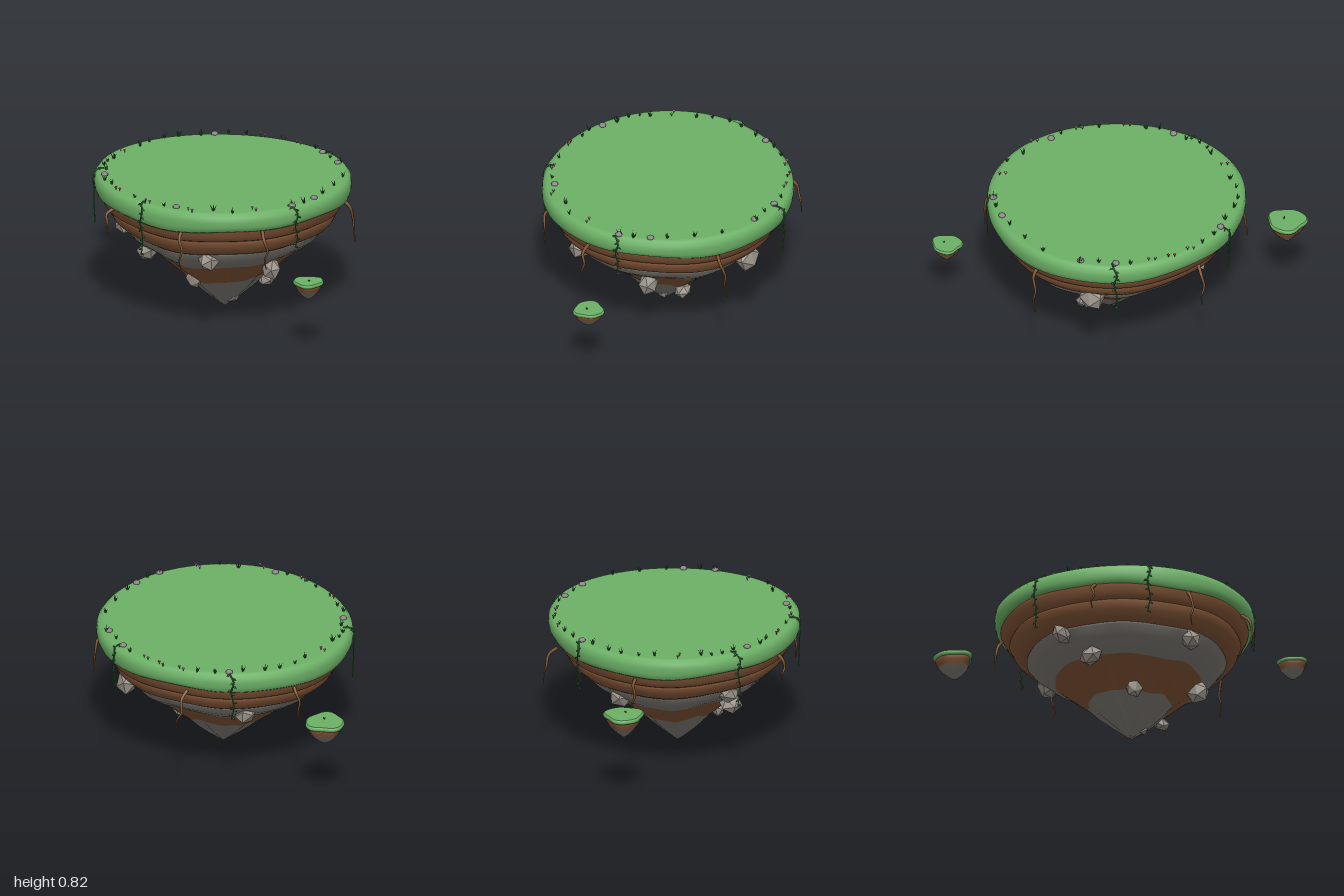
import * as THREE from 'three';

const mat = (name, color) => {
  const m = new THREE.MeshStandardMaterial({ color });
  m.name = name;
  return m;
};
const { cos, sin, PI } = Math;

// Seeded random numbers
let seed = 7;
const rnd = (a = 0, b = 1) => {
  seed = (seed * 16807) % 2147483647;
  return a + (b - a) * (seed / 2147483647);
};

// Rim radius and strata waviness by angle
const rim = (a) => 0.715 + 0.012 * cos(2 * a) + 0.01 * cos(a) - 0.01 * cos(3 * a);
const wave = (a) => 0.6 * sin(3 * a + 0.5) + 0.4 * sin(7 * a + 1.3);

// Closed rings joined from top to bottom; ring(i, angle) gives [x, y, z]
function loft(count, segs, ring) {
  const pos = [], idx = [];
  for (let i = 0; i < count; i++)
    for (let j = 0; j < segs; j++) pos.push(...ring(i, (j / segs) * 2 * PI));
  for (let i = 0; i < count - 1; i++)
    for (let j = 0; j < segs; j++) {
      const k = (j + 1) % segs;
      const a = i * segs + j, b = i * segs + k, c = a + segs, d = b + segs;
      idx.push(a, b, c, b, d, c);
    }
  const g = new THREE.BufferGeometry();
  g.setAttribute('position', new THREE.Float32BufferAttribute(pos, 3));
  g.setIndex(idx);
  g.computeVertexNormals();
  return g;
}

export function createModel() {
  seed = 7;
  const root = new THREE.Group();
  root.name = 'floatingIsland';
  const M = {
    grass: mat('grassGreen', 0x6cb066),
    dirt: mat('dirtBrown', 0x7f5335),
    rock: mat('rockGrey', 0x7c7872),
    boulder: mat('boulderGrey', 0x999289),
    root: mat('rootBrown', 0x80552f),
    vine: mat('vineGreen', 0x2f7038),
    blade: mat('bladeGreen', 0x2c5a2c),
    pebble: mat('pebbleGrey', 0x8c8488),
    pink: mat('petalPink', 0xd98cb4),
    red: mat('petalRed', 0xc0392b),
  };
  const add = (name, geo, m, parent = root) => {
    const mesh = new THREE.Mesh(geo, m);
    mesh.name = name;
    parent.add(mesh);
    return mesh;
  };

  // Main island bands: rows of [radius, height, waviness, fluting]
  const band = (name, m, rows) => add(name, loft(rows.length, 96, (i, a) => {
    const [r, y, w = 0, f = 0] = rows[i];
    const cx = y > 0.62 ? 0.03 : 0.03 + (0.62 - y) * 0.065;
    const R = (r / 0.715) * rim(a) * (1 + f * (sin(9 * a) + 0.6 * sin(14 * a + 1)));
    return [cx + R * cos(a), y + w * wave(a), 0.02 * (1 - y / 0.78) + R * sin(a)];
  }), m);

  band('grassTop', M.grass, [[0, 0.775], [0.68, 0.775]]);
  band('grassRim', M.grass, [[0.68, 0.775], [0.7, 0.77], [0.715, 0.752], [0.719, 0.725],
    [0.717, 0.695, 0.006], [0.708, 0.67, 0.012], [0.695, 0.661, 0.013], [0.65, 0.668, 0.012]]);
  band('upperDirt', M.dirt, [[0.66, 0.69], [0.684, 0.672, 0.003], [0.686, 0.655, 0.006],
    [0.67, 0.62, 0.006], [0.656, 0.597, 0.007], [0.64, 0.588, 0.007], [0.6, 0.59, 0.007]]);
  band('middleDirt', M.dirt, [[0.6, 0.6, 0.007], [0.634, 0.59, 0.007], [0.64, 0.575, 0.007],
    [0.622, 0.535, 0.008], [0.59, 0.503, 0.009], [0.565, 0.488, 0.01], [0.52, 0.49, 0.01]]);
  band('upperRock', M.rock, [[0.52, 0.497, 0.01], [0.547, 0.488, 0.01], [0.553, 0.475, 0.01, 0.003],
    [0.51, 0.425, 0.01, 0.007], [0.455, 0.385, 0.012, 0.009], [0.405, 0.355, 0.014, 0.01]]);
  band('lowerDirt', M.dirt, [[0.405, 0.355, 0.014, 0.01], [0.35, 0.31, 0.012, 0.012],
    [0.285, 0.255, 0.012, 0.018], [0.23, 0.21, 0.012, 0.025]]);
  band('rockTip', M.rock, [[0.23, 0.21, 0.012, 0.025], [0.165, 0.145, 0.006, 0.05],
    [0.1, 0.085, 0.003, 0.06], [0.045, 0.036, 0, 0.05], [0, 0]]);

  // Boulders set in the underside: x, y, z, size
  [[-0.41, 0.47, 0.31, 0.064], [-0.245, 0.35, 0.32, 0.068], [0.29, 0.445, 0.47, 0.071],
    [0.025, 0.215, 0.25, 0.052], [0.435, 0.31, 0.08, 0.065], [0.27, 0.175, -0.1, 0.054],
    [0.12, 0.08, 0.02, 0.046], [0.37, 0.475, -0.47, 0.082], [-0.34, 0.42, -0.29, 0.068],
  ].forEach(([x, y, z, s]) => {
    const b = add('boulder', new THREE.IcosahedronGeometry(s, 0), M.boulder);
    b.position.set(x, y, z);
    b.rotation.set(rnd(0, 3), rnd(0, 3), rnd(0, 3));
    b.scale.set(rnd(0.95, 1.15), rnd(0.7, 0.85), rnd(0.9, 1.1));
  });

  // Tapered tube along a list of points
  const strand = (name, pts, r0, r1, m, parent) => {
    const curve = new THREE.CatmullRomCurve3(pts.map((p) => new THREE.Vector3(...p)));
    const n = 14, sides = 6;
    const g = new THREE.TubeGeometry(curve, n, 1, sides, false);
    const p = g.attributes.position, v = new THREE.Vector3();
    for (let i = 0; i < p.count; i++) {
      const t = Math.floor(i / (sides + 1)) / n, c = curve.getPointAt(t);
      v.fromBufferAttribute(p, i).sub(c).multiplyScalar(r0 + (r1 - r0) * t).add(c);
      p.setXYZ(i, v.x, v.y, v.z);
    }
    add(name, g, m, parent);
    return curve;
  };

  // Hanging roots: start and end
  [[-0.29, 0.66, 0.59, -0.31, 0.51, 0.61], [0.23, 0.66, 0.64, 0.25, 0.43, 0.68],
    [0.63, 0.66, -0.32, 0.68, 0.39, -0.385], [0.61, 0.66, 0.4, 0.66, 0.45, 0.43],
    [-0.2, 0.66, -0.65, -0.19, 0.44, -0.73], [-0.6, 0.65, -0.2, -0.665, 0.45, -0.22],
  ].forEach(([x, y, z, X, Y, Z]) => {
    const at = (t, out, side) => [x + (X - x) * t + out * X - side * Z,
      y + (Y - y) * t, z + (Z - z) * t + out * Z + side * X];
    strand('hangingRoot', [at(0, 0, 0), at(0.2, 0.045, 0.01), at(0.5, 0.035, -0.012),
      at(0.75, 0.02, 0.012), at(1, 0, 0)], 0.011, 0.003, M.root);
  });

  // Vines draped over the rim: angle in degrees and lowest height
  [[148.5, 0.46], [93, 0.475], [18.5, 0.535], [-67.5, 0.5], [-131, 0.5]].forEach(([deg, low]) => {
    const vine = new THREE.Group();
    vine.name = 'vine';
    root.add(vine);
    const a = (deg * PI) / 180, R = rim(a);
    const at = (r, y, d) => [0.03 + r * cos(a + d), y, r * sin(a + d)];
    const curve = strand('vineStem', [at(R - 0.05, 0.778, 0.03), at(R - 0.01, 0.775, 0.02),
      at(R + 0.009, 0.735, -0.01), at(R + 0.007, 0.67, 0.012), at(R + 0.004, (0.67 + low) / 2, -0.01),
      at(R, low, 0.008)], 0.005, 0.003, M.vine, vine);
    for (let i = 0; i < 13; i++) {
      const leaf = add('vineLeaf', new THREE.OctahedronGeometry(0.013, 0), M.vine, vine);
      const s = i % 2 ? 1 : -1;
      leaf.scale.set(1, 0.55, 0.35);
      leaf.rotation.set(0, PI / 2 - a, s * 0.6, 'YXZ');
      leaf.position.copy(curve.getPointAt(0.06 + i * 0.077));
      leaf.position.add(new THREE.Vector3(-sin(a) * s * 0.011, 0, cos(a) * s * 0.011));
    }
  });

  // Grass tufts: a fan of thin cones
  const tuft = (x, y, z, h, parent = root) => {
    const g = new THREE.Group();
    g.name = 'grassTuft';
    g.position.set(x, y, z);
    g.rotation.y = rnd(0, 6);
    for (let i = 0; i < 4; i++) {
      const len = h * rnd(0.8, 1.15);
      const geo = new THREE.ConeGeometry(h * 0.12, len, 4).translate(0, len / 2, 0);
      const b = add('grassBlade', geo, M.blade, g);
      b.rotation.set(0, i * 1.7, i ? 0.5 : 0.08, 'YXZ');
    }
    parent.add(g);
  };
  [[-0.33, -0.56], [-0.24, -0.61], [-0.44, -0.45], [-0.53, -0.36], [-0.58, -0.29], [-0.61, -0.19],
    [-0.61, -0.1], [-0.6, 0.16], [-0.6, 0.22], [-0.52, 0.34], [-0.58, 0.28], [-0.42, 0.49],
    [-0.35, 0.52], [-0.11, 0.63], [0.11, 0.65], [0.38, 0.55], [0.49, 0.52], [0.71, 0.14],
    [0.69, 0.22], [0.7, -0.05], [0.67, -0.2], [0.62, -0.35], [0.47, -0.53], [0.37, -0.57],
    [0.21, -0.65]].forEach(([x, z]) => tuft(x, 0.773, z, rnd(0.03, 0.043)));

  // Pebbles around the rim
  [[-0.39, -0.51], [0.285, -0.615], [0.46, -0.52], [0.71, 0.045], [0.69, 0.225], [0.18, 0.63],
    [-0.475, 0.417]].forEach(([x, z]) => {
    const p = add('pebble', new THREE.IcosahedronGeometry(0.02, 1), M.pebble);
    p.position.set(x, 0.779, z);
    p.scale.y = 0.75;
  });

  // Small flowers in pairs
  [[-0.155, -0.645, 'pink'], [0.085, -0.66, 'pink'], [-0.63, 0.035, 'pink'], [0.56, 0.41, 'pink'],
    [0.28, 0.635, 'pink'], [0, 0.655, 'pink'], [-0.03, -0.67, 'red'], [-0.26, 0.585, 'red'],
  ].forEach(([x, z, c]) => [-1, 1].forEach((s) => {
    const f = add('flower', new THREE.SphereGeometry(0.008, 8, 6), M[c]);
    f.position.set(x + s * 0.017, 0.79, z + s * 0.005);
    f.scale.y = 0.6;
    const st = add('flowerStem', new THREE.CylinderGeometry(0.002, 0.002, 0.016, 5), M.blade);
    st.position.set(f.position.x, 0.781, f.position.z);
  }));

  // Small floating islets
  const islet = (name, x, y, z, s, turn) => {
    const g = new THREE.Group();
    g.name = name;
    g.position.set(x, y, z);
    root.add(g);
    const part = (n, m, rows) => add(n, loft(rows.length, 40, (i, a) => {
      const [r, h] = rows[i];
      const R = r * s * (1 + 0.08 * cos(3 * (a + turn)) + 0.04 * cos(5 * a + 1));
      return [R * cos(a), h * s, R * sin(a)];
    }), m, g);
    part('isletGrassTop', M.grass, [[0, 0], [0.94, -0.01]]);
    part('isletGrassRim', M.grass, [[0.94, -0.01], [1, -0.06], [1.01, -0.14], [0.97, -0.23], [0.85, -0.24]]);
    part('isletDirt', M.dirt, [[0.85, -0.2], [0.9, -0.26], [0.84, -0.44], [0.73, -0.66]]);
    part('isletRock', M.rock, [[0.73, -0.66], [0.55, -0.87], [0.32, -1.1], [0.12, -1.25], [0, -1.3]]);
    tuft(0.013, -0.002, 0.01, 0.018, g);
  };
  islet('rightIslet', -0.887, 0.535, -0.27, 0.109, PI / 3);
  islet('leftIslet', 0.912, 0.42, 0.375, 0.085, PI / 3);

  return root;
}
